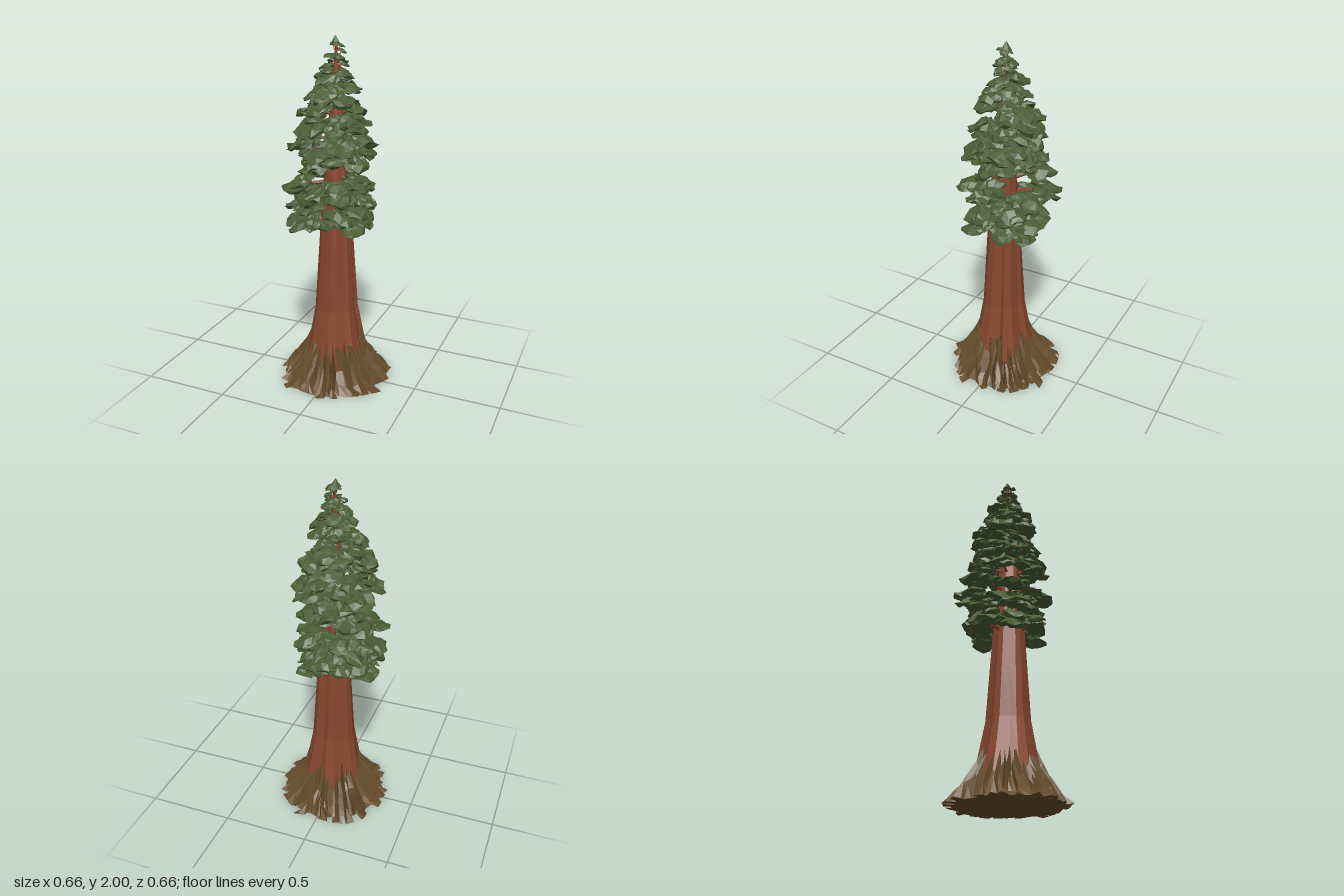
import * as THREE from 'three';
import { mergeGeometries } from 'three/addons/utils/BufferGeometryUtils.js';

const bark = new THREE.MeshStandardMaterial({ color: 0x87472f, flatShading: true });
const rootBrown = new THREE.MeshStandardMaterial({ color: 0x664e2c, flatShading: true });
const needleGreen = new THREE.MeshStandardMaterial({ color: 0x4a5e36, flatShading: true });
bark.name = 'red bark';
rootBrown.name = 'root brown';
needleGreen.name = 'needle green';

let seed = 7;
const rnd = () => {
  seed = (seed * 16807) % 2147483647;
  return seed / 2147483647;
};
const spread = (a) => (rnd() * 2 - 1) * a;

// Linear lookup in a list of [key, value] pairs
function lookup(table, k) {
  for (let i = 1; i < table.length; i++) {
    const [k0, v0] = table[i - 1], [k1, v1] = table[i];
    if (k <= k1) return v0 + (v1 - v0) * Math.max(0, (k - k0) / (k1 - k0));
  }
  return table[table.length - 1][1];
}

// Skin closed rings of points, capping both ends
function loft(rings) {
  const pos = [], n = rings[0].length;
  const tri = (...pts) => pts.forEach((p) => pos.push(p.x, p.y, p.z));
  for (let i = 0; i + 1 < rings.length; i++) {
    for (let j = 0; j < n; j++) {
      const k = (j + 1) % n, a = rings[i], b = rings[i + 1];
      tri(a[j], b[j], b[k]);
      tri(a[j], b[k], a[k]);
    }
  }
  const first = rings[0], last = rings[rings.length - 1];
  for (let j = 1; j + 1 < n; j++) {
    tri(first[0], first[j], first[j + 1]);
    tri(last[0], last[j + 1], last[j]);
  }
  const g = new THREE.BufferGeometry();
  g.setAttribute('position', new THREE.Float32BufferAttribute(pos, 3));
  g.computeVertexNormals();
  return g;
}

const polar = (a, r, y) => new THREE.Vector3(Math.sin(a) * r, y, Math.cos(a) * r);

// Fluted trunk: uneven columns that fade upwards
function trunkGeometry() {
  const sides = 18;
  const ribs = Array.from({ length: sides }, (_, j) => (j % 3 === 1 ? -0.09 : 0.04) + spread(0.05));
  const profile = [[0.04, 0.2], [0.16, 0.175], [0.27, 0.152], [0.45, 0.12], [0.7, 0.105],
    [1.0, 0.087], [1.25, 0.068], [1.5, 0.046], [1.75, 0.022], [1.96, 0.004]];
  const rings = profile.map(([y, r]) => Array.from({ length: sides }, (_, j) => {
    const a = -(j + ribs[j] * 3) / sides * Math.PI * 2 + y * 0.12;
    return polar(a, r * (1 + ribs[j] * (1.2 - y * 0.45)), y);
  }));
  return loft(rings);
}

// Solid flare under the roots, closed flat at the ground
function flareGeometry() {
  const sides = 40;
  const ring = (r, y, jag) => Array.from({ length: sides }, (_, j) =>
    polar(-j / sides * Math.PI * 2, r + spread(jag), y + (y > 0 ? spread(jag) : 0)));
  return loft([ring(0.29, 0, 0.015), ring(0.252, 0.035, 0.02), ring(0.196, 0.12, 0.02), ring(0.145, 0.235, 0.025)]);
}

// Sharp-crested root from the trunk to a splayed, notched foot
function rootGeometry(angle, reach, top, width) {
  const bend = spread(0.14), lean = spread(0.6);
  // [radius, crest height, half width]
  const stations = [
    [0.147, top, 0.01],
    [0.178, top * 0.76, width * 0.85],
    [0.228, 0.122 + spread(0.03), width * 0.75],
    [0.28, 0.066 + spread(0.022), width * 0.7],
    [reach, 0.01, width * 0.95],
  ];
  const rings = stations.map(([r, y, w], i) => {
    const a = angle + bend * i / 4 + spread(0.03), s = w / r;
    const foot = i === 4, floor = foot ? 0 : Math.max(0, y - 0.1);
    return [
      polar(a - s, r - (foot ? rnd() * 0.045 : 0.018), floor),
      polar(a + s * lean, foot ? r - 0.012 : r, y),
      polar(a + s, r - (foot ? rnd() * 0.045 : 0.018), floor),
    ];
  });
  return loft(rings);
}

// Flattened, ragged tuft of needles that droops outwards
function tuft(center, angle, size) {
  const g = new THREE.IcosahedronGeometry(1, 1);
  const p = g.attributes.position, moved = new Map(), v = new THREE.Vector3();
  const tilt = 0.25 + spread(0.2), roll = spread(0.3);
  for (let i = 0; i < p.count; i++) {
    v.fromBufferAttribute(p, i);
    const key = [v.x, v.y, v.z].map((c) => Math.round(c * 100)).join();
    if (!moved.has(key)) {
      const k = 0.7 + rnd() * 0.55;
      const flat = v.x * v.x + v.z * v.z;
      moved.set(key, new THREE.Vector3(
        v.x * k * size,
        size * (v.y * 0.3 * k - flat * 0.16 - v.z * tilt + v.x * roll + spread(0.18)),
        v.z * k * size));
    }
    const m = moved.get(key);
    p.setXYZ(i, m.x, m.y, m.z);
  }
  g.deleteAttribute('uv');
  g.rotateY(angle);
  g.translate(center.x, center.y, center.z);
  g.computeVertexNormals();
  return g;
}

// Tapered limb between two points
function limb(from, to, r) {
  const dir = to.clone().sub(from), len = dir.length();
  const g = new THREE.CylinderGeometry(r * 0.35, r, len, 5).toNonIndexed();
  g.deleteAttribute('uv');
  g.translate(0, len / 2, 0);
  g.applyQuaternion(new THREE.Quaternion().setFromUnitVectors(new THREE.Vector3(0, 1, 0), dir.normalize()));
  g.translate(from.x, from.y, from.z);
  return g;
}

export function createModel() {
  const tree = new THREE.Group();
  tree.name = 'conifer';
  const add = (name, geometry, material) => {
    const mesh = new THREE.Mesh(geometry, material);
    mesh.name = name;
    tree.add(mesh);
  };

  add('trunk', trunkGeometry(), bark);
  add('rootFlare', flareGeometry(), rootBrown);

  // Large roots, with smaller ones filling the gaps
  const roots = [], count = 20;
  for (let i = 0; i < count; i++) {
    const a = (i + spread(0.25)) / count * Math.PI * 2;
    roots.push(rootGeometry(a, 0.345 + spread(0.015), 0.27 + spread(0.03), 0.028 + rnd() * 0.01));
    roots.push(rootGeometry(a + Math.PI / count, 0.312 + spread(0.015), 0.235 + spread(0.04), 0.023));
  }
  add('roots', mergeGeometries(roots), rootBrown);

  // Crown: loose, overlapping tiers of boughs as [height, bough count]
  const tiers = [[0.99, 7], [1.04, 7], [1.1, 7], [1.16, 7], [1.22, 7], [1.37, 7], [1.42, 6], [1.48, 7],
    [1.54, 6], [1.61, 6], [1.67, 6], [1.73, 6], [1.79, 6], [1.85, 5], [1.9, 5], [1.95, 4]];
  const crown = [[0.95, 0.27], [1.03, 0.29], [1.22, 0.3], [1.4, 0.28], [1.5, 0.25],
    [1.67, 0.205], [1.76, 0.135], [1.86, 0.088], [1.96, 0.048]];
  const tufts = [], limbs = [];
  tiers.forEach(([y, n], t) => {
    for (let i = 0; i < n; i++) {
      const a = t * 2.4 + (i + spread(0.3)) / n * Math.PI * 2;
      // The trunk stays bare in a narrow strip at the front
      if (y > 1.04 && y < 1.62 && Math.cos(a - 0.1) > 0.965) continue;
      const reach = lookup(crown, y) * (0.9 + spread(0.13));
      const size = Math.min(0.066, reach * 0.42) * (0.9 + rnd() * 0.25);
      const h = y + spread(Math.min(0.04, reach * 0.2)), drop = reach * (0.17 + spread(0.12));
      // The whole crown sits slightly right and back of the trunk
      const at = (f, turn = 0) => polar(a + turn, (reach - size) * f, h + 0.014 - drop * f * f)
        .add(new THREE.Vector3(-0.07 * reach, 0, -0.07 * reach));
      limbs.push(limb(polar(a, 0.01, h - 0.03), at(0.95), 0.004 + reach * 0.03));
      tufts.push(tuft(at(1), a, size));
      if (reach > 0.1) {
        tufts.push(tuft(at(0.84, 0.27), a + 0.3, size * 0.85));
        tufts.push(tuft(at(0.8, -0.29), a - 0.3, size * 0.75));
      }
      if (reach > 0.16 && i % 2) tufts.push(tuft(at(0.6, spread(0.15)), a, size * 0.8));
    }
  });
  add('branches', mergeGeometries(limbs), bark);
  add('foliage', mergeGeometries(tufts), needleGreen);

  // Short leader at the very top
  const tip = new THREE.ConeGeometry(0.03, 0.05, 5);
  tip.translate(-0.008, 1.975, -0.01);
  add('treeTop', tip, needleGreen);
  return tree;
}
